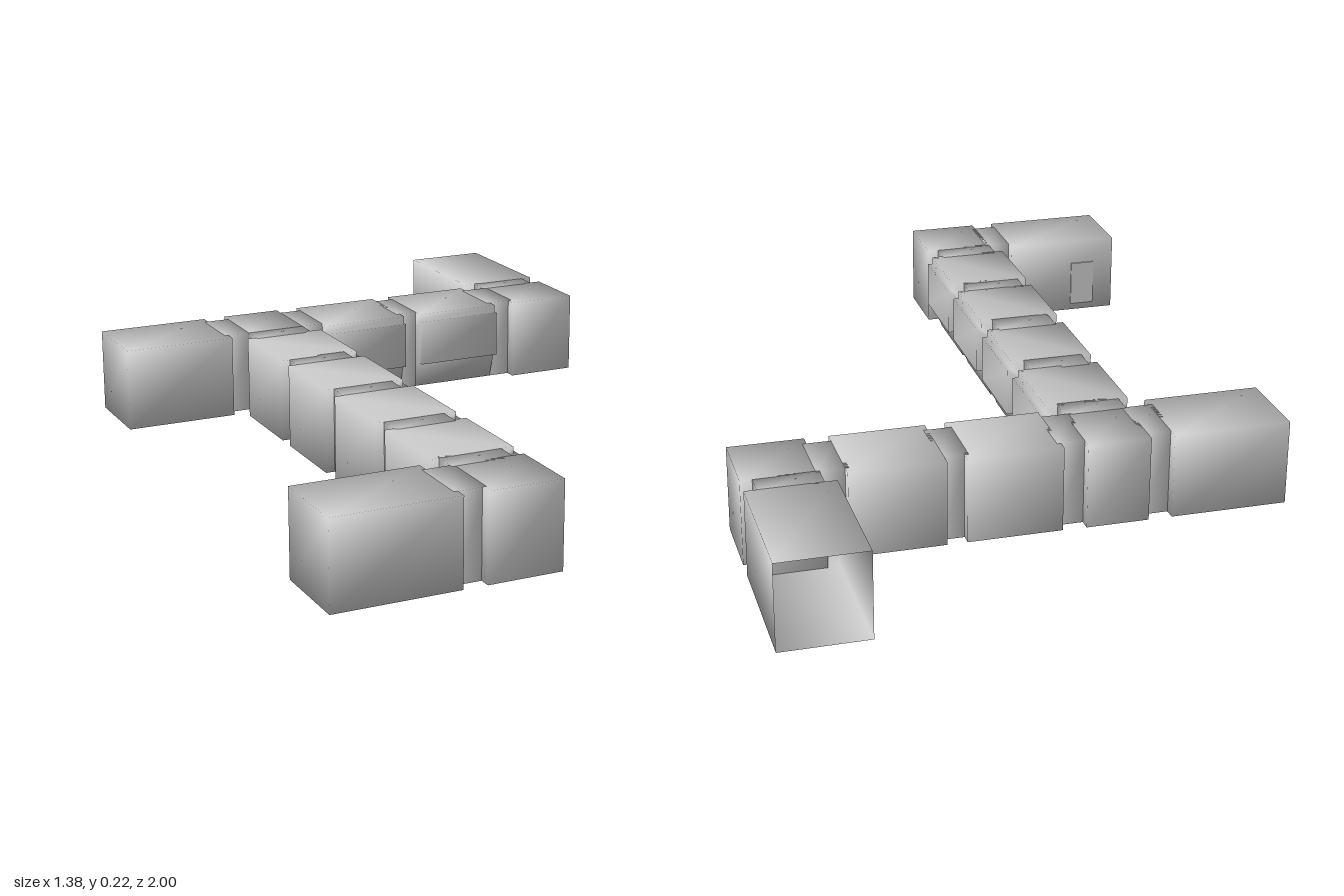
import * as THREE from 'three';
import { mergeVertices } from 'three/addons/utils/BufferGeometryUtils.js';

const HEIGHT = 0.22;
const material = new THREE.MeshStandardMaterial({ color: 0xcccccc });
const shellMaterial = new THREE.MeshStandardMaterial({ color: 0xcccccc, side: THREE.DoubleSide });

// Share corner vertices so the shading runs softly round the edges
function soften(geometry) {
  geometry.deleteAttribute('normal');
  geometry.deleteAttribute('uv');
  const merged = mergeVertices(geometry, 1e-4);
  merged.clearGroups();
  merged.computeVertexNormals();
  return merged;
}

export function createModel() {
  const model = new THREE.Group();
  model.name = 'corridorNetwork';

  function add(name, geometry, mat = material) {
    const mesh = new THREE.Mesh(geometry, mat);
    mesh.name = name;
    model.add(mesh);
    return mesh;
  }

  // Full-height room between two x and two z limits
  function room(name, x0, x1, z0, z1, openBack = false) {
    const box = new THREE.BoxGeometry(x1 - x0, HEIGHT, z1 - z0);
    // The back face is the last one in the index
    if (openBack) box.setIndex(Array.from(box.index.array).slice(0, 30));
    const mesh = add(name, soften(box), openBack ? shellMaterial : material);
    mesh.position.set((x0 + x1) / 2, HEIGHT / 2, (z0 + z1) / 2);
    return mesh;
  }

  // Corridor section: a window bay on one side over an undercut lower wall
  const profile = new THREE.Shape([
    [-0.108, 0], [0.08, 0], [0.105, 0.075], [0.122, 0.075],
    [0.122, 0.2], [0.108, 0.2], [0.108, HEIGHT], [-0.108, HEIGHT],
  ].map(([x, y]) => new THREE.Vector2(x, y)));
  const section = new THREE.ExtrudeGeometry(profile, { depth: 0.24, bevelEnabled: false });
  section.translate(0, 0, -0.12);
  const sectionGeometry = soften(section);

  // Long corridor, bays facing +x
  for (const z of [-0.25, 0.04, 0.34, 0.635]) {
    add('longCorridorSection', sectionGeometry).position.set(-0.226, 0, z);
  }
  // Cross corridor, bays facing +z
  for (const x of [0.03, 0.32]) {
    const mesh = add('crossCorridorSection', sectionGeometry);
    mesh.position.set(x, 0, -0.505);
    mesh.rotation.y = -Math.PI / 2;
  }

  // Narrow links showing in the gaps between the sections
  for (const [z0, z1] of [[-0.43, -0.36], [-0.14, -0.07], [0.15, 0.23], [0.45, 0.525], [0.745, 0.82]]) {
    room('longCorridorLink', -0.31, -0.15, z0, z1);
  }
  for (const [x0, x1] of [[-0.38, -0.3], [-0.16, -0.08], [0.14, 0.21], [0.43, 0.51]]) {
    room('crossCorridorLink', x0, x1, -0.585, -0.425);
  }
  room('frontRoomLink', -0.38, -0.3, 0.81, 0.97);
  room('backRoomLink', 0.5, 0.66, -0.65, -0.58);

  // Junction, corners and end rooms
  room('junction', -0.31, -0.15, -0.615, -0.425);
  room('frontCorner', -0.31, -0.12, 0.81, 1);
  room('backCorner', 0.5, 0.69, -0.585, -0.395);
  room('sideRoom', -0.67, -0.37, -0.615, -0.395);
  room('frontRoom', -0.69, -0.37, 0.78, 1);
  room('openRoom', 0.47, 0.69, -1, -0.64, true);

  // Flat door on the back wall of the front room
  const door = add('door', new THREE.BoxGeometry(0.07, 0.13, 0.006));
  door.position.set(-0.595, 0.085, 0.779);

  return model;
}
